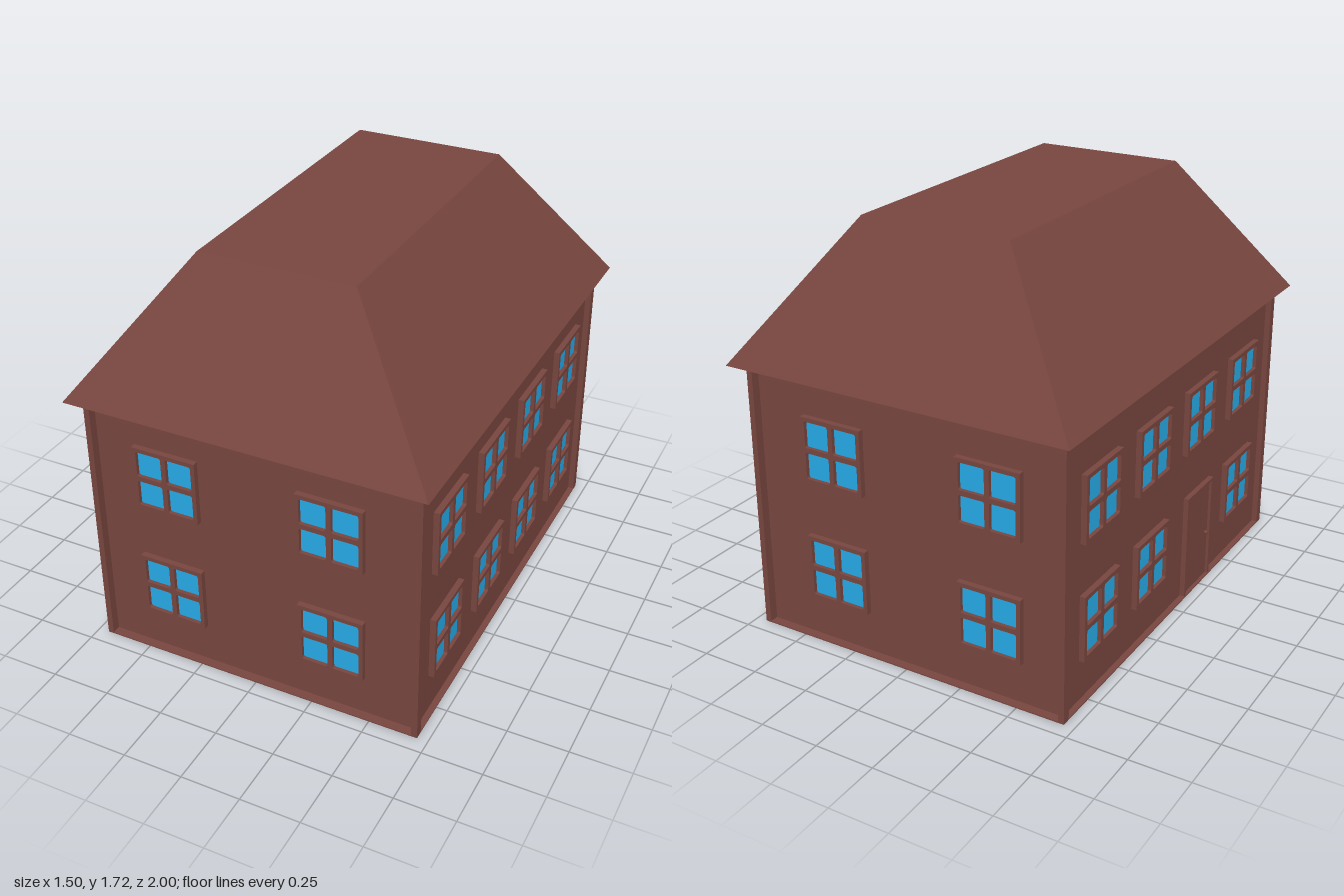
import * as THREE from 'three';

const brick = new THREE.MeshStandardMaterial({ color: 0x78463f });
brick.name = 'brown brick';
const glass = new THREE.MeshStandardMaterial({ color: 0x29b4f4 });
glass.name = 'blue glass';

const WALL_X = 0.68, WALL_Z = 0.9, OUT_X = 0.705, OUT_Z = 0.937, EAVE = 1.147;

function box(name, w, h, d, x, y, z) {
  const mesh = new THREE.Mesh(new THREE.BoxGeometry(w, h, d), brick);
  mesh.name = name;
  mesh.position.set(x, y, z);
  return mesh;
}

// Adds a rounded square, centred on (x, y), to a shape or path
function roundedSquare(path, x, y, size, r) {
  const h = size / 2;
  path.moveTo(x - h + r, y - h);
  path.lineTo(x + h - r, y - h);
  path.quadraticCurveTo(x + h, y - h, x + h, y - h + r);
  path.lineTo(x + h, y + h - r);
  path.quadraticCurveTo(x + h, y + h, x + h - r, y + h);
  path.lineTo(x - h + r, y + h);
  path.quadraticCurveTo(x - h, y + h, x - h, y + h - r);
  path.lineTo(x - h, y - h + r);
  path.quadraticCurveTo(x - h, y - h, x - h + r, y - h);
  return path;
}

// Window frame with four rounded openings
const frameShape = new THREE.Shape();
const f = 0.139;
frameShape.moveTo(-f, -f).lineTo(f, -f).lineTo(f, f).lineTo(-f, f).closePath();
for (const sx of [-1, 1]) for (const sy of [-1, 1]) {
  frameShape.holes.push(roundedSquare(new THREE.Path(), sx * 0.066, sy * 0.066, 0.111, 0.01));
}
const frameGeometry = new THREE.ExtrudeGeometry(frameShape, { depth: 0.024, bevelEnabled: false, curveSegments: 4 });
const paneGeometry = new THREE.BoxGeometry(0.26, 0.26, 0.008);

function makeWindow(x, y, z, turn) {
  const window = new THREE.Group();
  window.name = 'window';
  const frame = new THREE.Mesh(frameGeometry, brick);
  frame.name = 'windowFrame';
  const pane = new THREE.Mesh(paneGeometry, glass);
  pane.name = 'windowPane';
  pane.position.z = 0.004;
  window.add(frame, pane);
  window.position.set(x, y, z);
  window.rotation.y = turn;
  return window;
}

function makeDoor() {
  const door = new THREE.Group();
  door.name = 'door';
  const w = 0.25, h = 0.46, t = 0.015;
  door.add(box('doorLeaf', w - 2 * t, h - t, 0.01, 0, (h - t) / 2, 0.005));
  for (const s of [-1, 1]) door.add(box('doorJamb', t, h, 0.022, s * (w - t) / 2, h / 2, 0.011));
  door.add(box('doorLintel', w - 2 * t, t, 0.022, 0, h - t / 2, 0.011));
  const knob = new THREE.Mesh(new THREE.SphereGeometry(0.009, 12, 8), brick);
  knob.name = 'doorKnob';
  knob.position.set(0.085, 0.21, 0.016);
  door.add(knob);
  return door;
}

export function createModel() {
  const house = new THREE.Group();
  house.name = 'house';

  // Walls, floor slab and corner posts
  house.add(box('walls', WALL_X * 2, EAVE - 0.005, WALL_Z * 2, 0, EAVE / 2 + 0.0025, 0));
  house.add(box('floorSlab', OUT_X * 2, 0.005, OUT_Z * 2, 0, 0.0025, 0));
  const pw = OUT_X - WALL_X, pd = OUT_Z - WALL_Z;
  for (const sx of [-1, 1]) for (const sz of [-1, 1]) {
    house.add(box('cornerPost', pw, EAVE - 0.005, pd,
      sx * (WALL_X + pw / 2), EAVE / 2 + 0.0025, sz * (WALL_Z + pd / 2)));
  }

  // Hipped roof with a flat top: a box whose top corners are drawn in
  const roofH = 1.723 - EAVE;
  const roof = box('roof', 1.5, roofH, 2, 0, EAVE + roofH / 2, 0);
  const p = roof.geometry.attributes.position;
  for (let i = 0; i < p.count; i++) {
    if (p.getY(i) > 0) {
      p.setX(i, Math.sign(p.getX(i)) * 0.322);
      p.setZ(i, Math.sign(p.getZ(i)) * 0.673);
    }
  }
  roof.geometry.computeVertexNormals();
  house.add(roof);

  // Front and back windows
  for (const y of [0.319, 0.832]) for (const x of [-0.372, 0.328]) {
    house.add(makeWindow(x, y, WALL_Z, 0));
    house.add(makeWindow(x, y, -WALL_Z, Math.PI));
  }

  // Side windows, with the door in place of one on the right
  const doorZ = 0.235;
  for (const y of [0.319, 0.813]) for (const z of [-0.643, -0.214, 0.214, 0.643]) {
    house.add(makeWindow(WALL_X, y, z, Math.PI / 2));
    if (y > 0.5 || z !== 0.214) house.add(makeWindow(-WALL_X, y, z, -Math.PI / 2));
  }
  const door = makeDoor();
  door.position.set(-WALL_X, 0.005, doorZ);
  door.rotation.y = -Math.PI / 2;
  house.add(door);

  return house;
}
